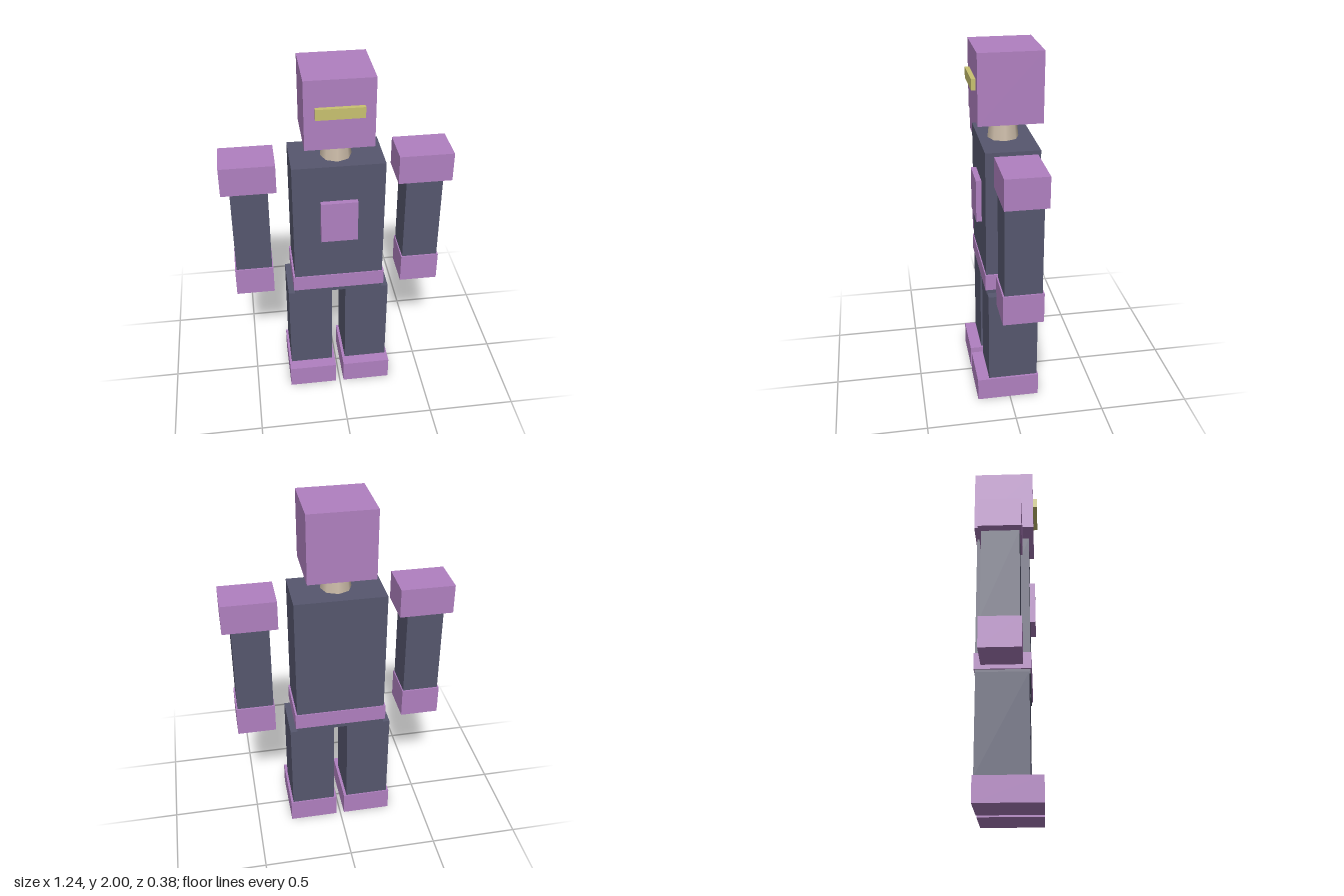
import * as THREE from 'three';

const material = (name, color) => {
  const m = new THREE.MeshStandardMaterial({ color });
  m.name = name;
  return m;
};

export function createModel() {
  const purple = material('purple armour', 0xb080c0);
  const slate = material('slate body', 0x56576e);
  const yellow = material('yellow visor', 0xc9c270);
  const beige = material('beige neck', 0xcbbba8);

  const model = new THREE.Group();
  model.name = 'robotFigure';

  // Box given by its extents on each axis
  const box = (name, mat, [x0, x1], [y0, y1], [z0, z1], parent = model) => {
    const mesh = new THREE.Mesh(new THREE.BoxGeometry(x1 - x0, y1 - y0, z1 - z0), mat);
    mesh.position.set((x0 + x1) / 2, (y0 + y1) / 2, (z0 + z1) / 2);
    mesh.name = name;
    parent.add(mesh);
  };

  // Head and visor
  box('head', purple, [-0.18, 0.18], [1.625, 2], [-0.19, 0.152]);
  box('visor', yellow, [-0.125, 0.125], [1.8, 1.858], [0.14, 0.176]);

  // Tapered neck
  const neck = new THREE.Mesh(new THREE.CylinderGeometry(0.07, 0.085, 0.13, 8), beige);
  neck.position.set(0, 1.565, -0.008);
  neck.name = 'neck';
  model.add(neck);

  // Torso, chest plate and belt
  box('torso', slate, [-0.248, 0.248], [0.682, 1.505], [-0.165, 0.126]);
  box('chestPlate', purple, [-0.1, 0.1], [1.053, 1.296], [0.12, 0.156]);
  box('belt', purple, [-0.258, 0.258], [0.708, 0.8], [-0.171, 0.132]);

  // Arms and legs, mirrored
  for (const [side, s] of [['left', 1], ['right', -1]]) {
    const span = (a, b) => (s > 0 ? [a, b] : [-b, -a]);

    const arm = new THREE.Group();
    arm.name = side + 'Arm';
    box('shoulder', purple, span(0.326, 0.62), [1.35, 1.514], [-0.132, 0.092], arm);
    box('upperArm', slate, span(0.372, 0.572), [0.85, 1.352], [-0.117, 0.082], arm);
    box('hand', purple, span(0.366, 0.58), [0.685, 0.853], [-0.126, 0.09], arm);

    const leg = new THREE.Group();
    leg.name = side + 'Leg';
    box('shin', slate, span(0.039, 0.288), [0.13, 0.678], [-0.159, 0.12], leg);
    box('foot', purple, span(0.023, 0.301), [0, 0.135], [-0.166, 0.187], leg);

    model.add(arm, leg);
  }
  return model;
}
